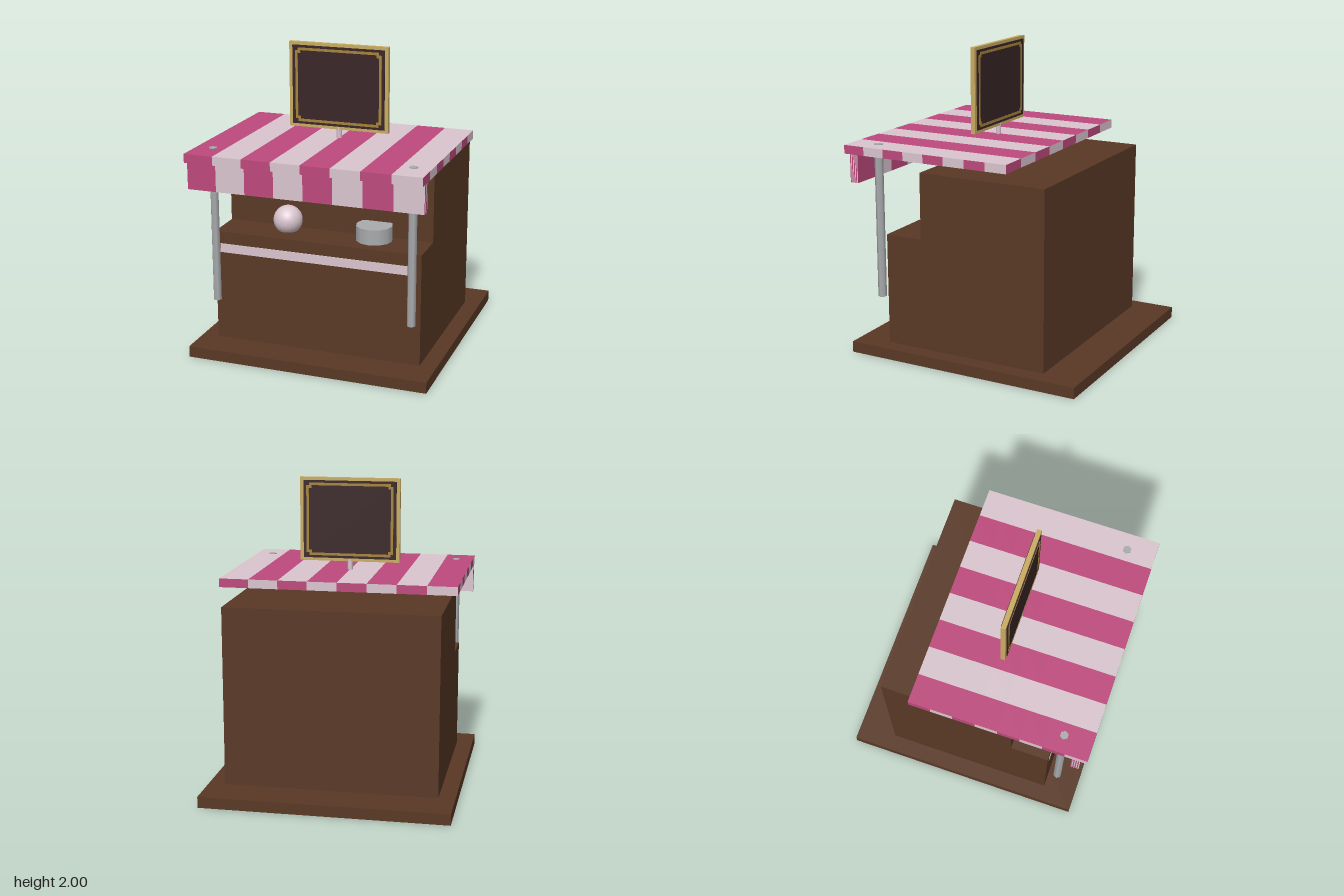
import * as THREE from 'three';

const mat = (name, color) => {
  const m = new THREE.MeshStandardMaterial({ color });
  m.name = name;
  return m;
};

export function createModel() {
  const wood = mat('brown wood', 0x593825);
  const pink = mat('awning pink', 0xbd497c);
  const pale = mat('pale pink', 0xd9c5ce);
  const metal = mat('grey metal', 0xa9abad);
  const gold = mat('gold', 0xc9ab62);
  const darkGold = mat('dark gold', 0xa5823a);
  const board = mat('dark board', 0x382425);

  const root = new THREE.Group();
  root.name = 'marketStall';

  const add = (name, geometry, material, x, y, z, parent = root) => {
    const mesh = new THREE.Mesh(geometry, material);
    mesh.name = name;
    mesh.position.set(x, y, z);
    parent.add(mesh);
    return mesh;
  };

  // Box given by its lower and upper corners
  const box = (name, material, [x0, y0, z0], [x1, y1, z1], parent) =>
    add(name, new THREE.BoxGeometry(x1 - x0, y1 - y0, z1 - z0), material,
      (x0 + x1) / 2, (y0 + y1) / 2, (z0 + z1) / 2, parent);

  // Box whose every face carries eight alternating stripes, left to right
  const stripedBox = (name, [x0, y0, z0], [x1, y1, z1]) => {
    const n = 8;
    const g = new THREE.BoxGeometry(x1 - x0, y1 - y0, z1 - z0, n, 1, n).toNonIndexed();
    const uv = g.attributes.uv;
    g.clearGroups();
    for (let i = 0; i < uv.count; i += 3) {
      const u = (uv.getX(i) + uv.getX(i + 1) + uv.getX(i + 2)) / 3;
      g.addGroup(i, 3, Math.floor(u * n) % 2);
    }
    return add(name, g, [pink, pale], (x0 + x1) / 2, (y0 + y1) / 2, (z0 + z1) / 2);
  };

  // Stall body
  box('basePlatform', wood, [-0.803, 0, -0.825], [0.803, 0.073, 0.787]);
  box('backCabinet', wood, [-0.695, 0.073, -0.565], [0.695, 1.247, 0.312]);
  box('counter', wood, [-0.695, 0.073, 0.312], [0.695, 0.81, 0.567]);
  box('counterTrim', pale, [-0.66, 0.67, 0.565], [0.66, 0.73, 0.57]);

  // Awning and its hanging front
  stripedBox('awningRoof', [-0.77, 1.33, -0.345], [0.77, 1.387, 0.826]);
  stripedBox('awningValance', [-0.77, 1.147, 0.727], [0.77, 1.33, 0.783]);

  // Six-sided front posts
  for (const side of [-1, 1]) {
    const post = new THREE.CylinderGeometry(0.028, 0.028, 1.022, 6);
    post.rotateY(Math.PI / 6);
    add(side > 0 ? 'leftPost' : 'rightPost', post, metal, side * 0.657, 0.881, 0.64);
  }

  // Goods on the counter
  add('ball', new THREE.SphereGeometry(0.095, 24, 16), pale, -0.26, 0.88, 0.385);
  add('tin', new THREE.CylinderGeometry(0.118, 0.118, 0.1, 12), metal, 0.328, 0.86, 0.382);

  // Sign on its pole
  const sign = new THREE.Group();
  sign.name = 'sign';
  sign.position.set(0, 1.722, 0.13);
  root.add(sign);
  add('signPole', new THREE.CylinderGeometry(0.018, 0.018, 0.22, 8), pale, 0, 1.35, 0.13);
  box('signFrame', gold, [-0.335, -0.278, -0.015], [0.335, 0.278, 0.015], sign);
  box('signBoard', board, [-0.312, -0.258, -0.02], [0.312, 0.258, 0.02], sign);

  // Thin border with notched corners
  const notched = (target, w, h, n) => {
    const corners = [
      [-w + n, -h], [w - n, -h], [w - n, -h + n], [w, -h + n],
      [w, h - n], [w - n, h - n], [w - n, h], [-w + n, h],
      [-w + n, h - n], [-w, h - n], [-w, -h + n], [-w + n, -h + n],
    ];
    target.setFromPoints(corners.map(([x, y]) => new THREE.Vector2(x, y)));
    return target;
  };
  const border = notched(new THREE.Shape(), 0.292, 0.242, 0.018);
  border.holes.push(notched(new THREE.Path(), 0.275, 0.225, 0.018));
  const borderGeometry = new THREE.ExtrudeGeometry(border, { depth: 0.003, bevelEnabled: false });
  add('frontBorder', borderGeometry, darkGold, 0, 0, 0.0195, sign);
  add('backBorder', borderGeometry, darkGold, 0, 0, -0.0225, sign);

  return root;
}
